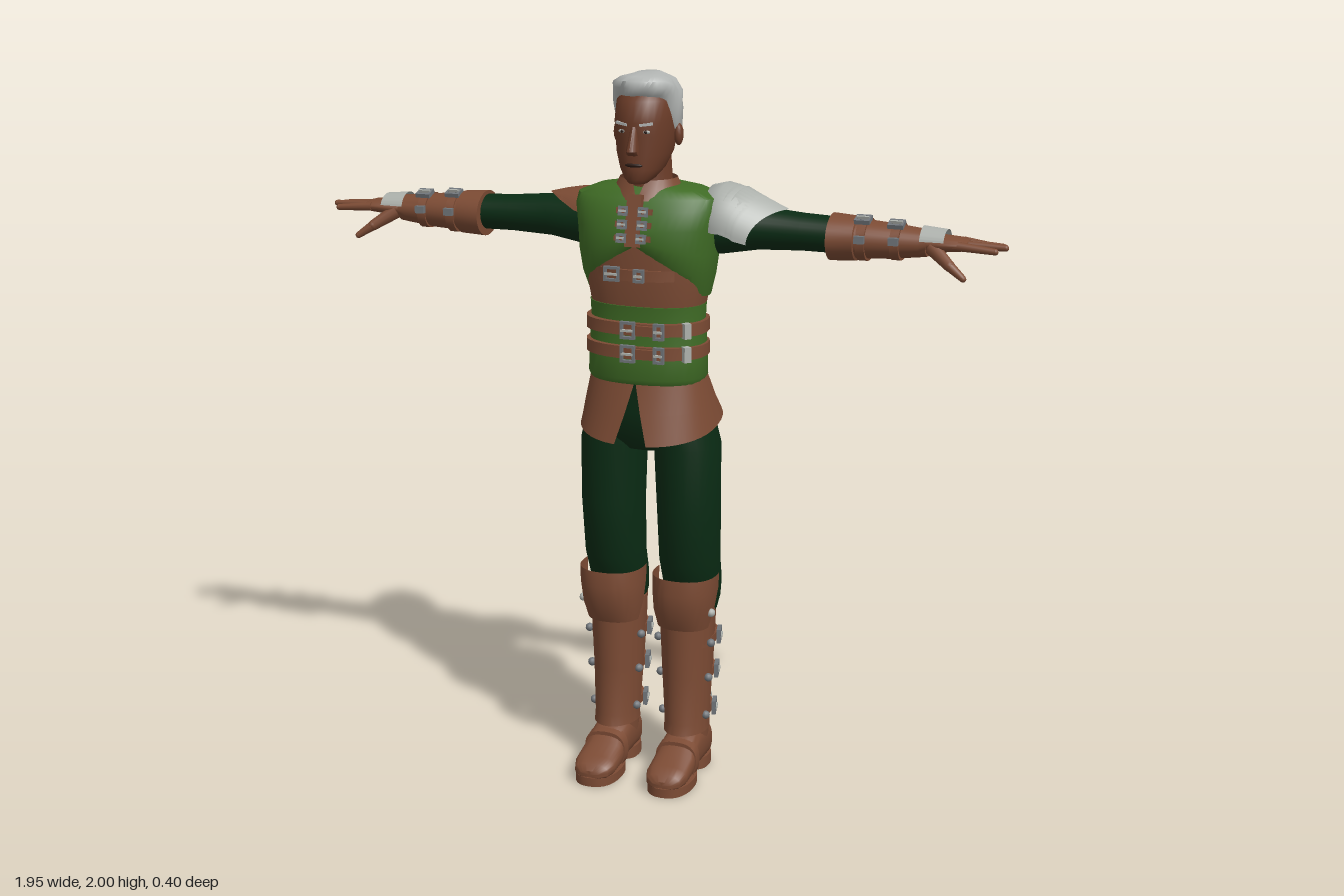
import * as THREE from 'three';
import { toCreasedNormals } from 'three/addons/utils/BufferGeometryUtils.js';

const paint = (name, color) => new THREE.MeshStandardMaterial({ name, color, side: THREE.DoubleSide });
const leather = paint('leather', 0x7c4b34);
const skin = paint('skin', 0x6b3c28);
const green = paint('vest green', 0x3f6b25);
const darkGreen = paint('dark green cloth', 0x0a2b14);
const silver = paint('silver', 0xacb0ab);
const hairGrey = paint('grey hair', 0xb2b5b3);
const buckleGrey = paint('buckle metal', 0x70757a);
const dark = paint('dark', 0x2a1a14);

function add(parent, name, geo, mat, x = 0, y = 0, z = 0) {
  const m = new THREE.Mesh(geo, mat);
  m.name = name;
  m.position.set(x, y, z);
  parent.add(m);
  return m;
}

// Skin over rings [t, centreU, centreV, radiusU, radiusV, gap]; t runs along the axis.
// (U, V) is (x, z) for axis y, (y, z) for axis x and (x, y) for axis z.
function loft(parent, name, mat, rings, o = {}) {
  const { axis = 'y', n = 28, e = 1, start = Math.PI / 2, cap = true, warp, crease = 0.75 } = o;
  const pos = [], idx = [];
  const put = (t, u, v) => {
    const p = axis === 'y' ? new THREE.Vector3(u, t, v) : axis === 'x' ? new THREE.Vector3(t, u, v) : new THREE.Vector3(u, v, t);
    if (warp) warp(p);
    pos.push(p.x, p.y, p.z);
  };
  const tri = (a, b, c) => axis === 'y' ? idx.push(a, b, c) : idx.push(a, c, b);
  const pw = c => Math.sign(c) * Math.abs(c) ** e;
  for (const [t, cu, cv, ru, rv, gap = 0] of rings)
    for (let j = 0; j <= n; j++) {
      const a = start + gap + (Math.PI * 2 - 2 * gap) * j / n;
      put(t, cu + ru * pw(Math.cos(a)), cv + rv * pw(Math.sin(a)));
    }
  const w = n + 1, top = (rings.length - 1) * w;
  for (let i = 0; i < rings.length - 1; i++)
    for (let j = 0; j < n; j++) {
      const a = i * w + j, c = a + w;
      tri(a, c, a + 1);
      tri(a + 1, c, c + 1);
    }
  if (cap) {
    const last = rings[rings.length - 1], c0 = rings.length * w;
    put(rings[0][0], rings[0][1], rings[0][2]);
    put(last[0], last[1], last[2]);
    for (let j = 0; j < n; j++) {
      tri(c0, j, j + 1);
      tri(c0 + 1, top + j + 1, top + j);
    }
  }
  const g = new THREE.BufferGeometry();
  g.setAttribute('position', new THREE.Float32BufferAttribute(pos, 3));
  g.setIndex(idx);
  return add(parent, name, toCreasedNormals(g, crease), mat);
}

// Short band around a limb or the waist
function band(parent, name, mat, t, cu, cv, ru, rv, h, o = {}) {
  return loft(parent, name, mat, [[t - h / 2, cu, cv, ru, rv], [t + h / 2, cu, cv, ru, rv]], { e: 0.9, ...o });
}

// Tapered round rod between two points
function rod(parent, name, mat, a, b, r0, r1) {
  const p = new THREE.Vector3(...a), d = new THREE.Vector3(...b).sub(p);
  const m = add(parent, name, new THREE.CylinderGeometry(r1, r0, d.length(), 10), mat);
  m.position.copy(p).addScaledVector(d, 0.5);
  m.quaternion.setFromUnitVectors(new THREE.Vector3(0, 1, 0), d.normalize());
  add(parent, name + 'Tip', new THREE.SphereGeometry(r1, 10, 8), mat, ...b);
}

// Rectangular frame with a prong, facing +z before turning
function buckle(parent, x, y, z, w, h, rx = 0, ry = 0) {
  const rect = (S, a, b) => new S().moveTo(-a, -b).lineTo(a, -b).lineTo(a, b).lineTo(-a, b).closePath();
  const s = rect(THREE.Shape, w / 2, h / 2);
  s.holes.push(rect(THREE.Path, w / 2 - 0.007, h / 2 - 0.007));
  const g = new THREE.Group();
  g.name = 'buckle';
  add(g, 'buckleFrame', new THREE.ExtrudeGeometry(s, { depth: 0.012, bevelEnabled: false }), buckleGrey);
  add(g, 'bucklePin', new THREE.BoxGeometry(w * 0.8, 0.006, 0.008), silver, 0, 0, 0.012);
  g.position.set(x, y, z);
  g.rotation.set(rx, ry, 0);
  parent.add(g);
}

function buildHead(root) {
  const g = new THREE.Group();
  g.name = 'head';
  root.add(g);
  loft(g, 'neck', skin, [[1.62, 0, 0, 0.085, 0.08], [1.69, 0, 0, 0.065, 0.066], [1.78, 0, 0.005, 0.06, 0.07]]);
  loft(g, 'face', skin, [[1.712, 0, 0.085, 0.024, 0.026], [1.725, 0, 0.07, 0.04, 0.05], [1.75, 0, 0.045, 0.058, 0.075],
    [1.79, 0, 0.028, 0.072, 0.094], [1.84, 0, 0.02, 0.079, 0.1], [1.875, 0, 0.02, 0.08, 0.103], [1.93, 0, 0.013, 0.077, 0.098],
    [1.97, 0, 0.005, 0.055, 0.07]], { e: 0.92, crease: 1.2 });
  // Swept hair with a raised front hairline
  loft(g, 'hair', hairGrey, [[1.82, 0, 0, 0.074, 0.088], [1.85, 0, 0.005, 0.087, 0.1], [1.9, 0, 0.008, 0.092, 0.104],
    [1.95, 0, 0.008, 0.09, 0.102], [1.98, 0, 0.006, 0.07, 0.085], [1.997, 0, 0, 0.03, 0.04]], {
    n: 48, crease: 1.2, warp: p => {
      const s = THREE.MathUtils.smoothstep(p.z, 0.0, 0.08);
      const k = 1 + 0.025 * Math.sin(9 * Math.atan2(p.z, p.x) + p.y * 50);
      p.y += 0.115 * s * (2 - p.y) / 0.18;
      p.x *= k;
      p.z *= k;
    } });
  for (const s of [-1, 1]) {
    add(g, 'ear', new THREE.SphereGeometry(1, 12, 8).scale(0.012, 0.03, 0.018), skin, s * 0.086, 1.835, 0.005);
    add(g, 'eyebrow', new THREE.BoxGeometry(0.036, 0.007, 0.009), hairGrey, s * 0.034, 1.872, 0.115).rotation.set(0, s * 0.3, s * 0.12);
    add(g, 'eye', new THREE.SphereGeometry(1, 12, 8).scale(0.012, 0.005, 0.004), silver, s * 0.033, 1.852, 0.113);
    add(g, 'pupil', new THREE.SphereGeometry(0.0045, 10, 8), dark, s * 0.033, 1.852, 0.115);
  }
  loft(g, 'nose', skin, [[1.79, 0, 0.12, 0.018, 0.014], [1.802, 0, 0.124, 0.017, 0.027], [1.865, 0, 0.11, 0.009, 0.015]], { n: 12 });
  add(g, 'mouth', new THREE.SphereGeometry(1, 12, 8).scale(0.025, 0.006, 0.007), dark, 0, 1.763, 0.117);
}

function buildTorso(root) {
  const g = new THREE.Group();
  g.name = 'torso';
  root.add(g);
  // Vest whose front hem rises to a peak
  loft(g, 'vest', green, [[1.4, 0, -0.01, 0.168, 0.11], [1.46, 0, -0.004, 0.183, 0.125], [1.52, 0, -0.002, 0.192, 0.13],
    [1.59, 0, -0.003, 0.197, 0.128], [1.64, 0, -0.008, 0.205, 0.118], [1.67, 0, -0.013, 0.2, 0.105],
    [1.69, 0, -0.015, 0.15, 0.09], [1.7, 0, -0.01, 0.09, 0.075]], {
    e: 0.82, n: 48, warp: p => {
      if (p.z > 0 && p.y < 1.59) p.y += 0.13 * (1.59 - p.y) / 0.19 * Math.max(0, 1 - Math.abs(p.x) / 0.17);
    } });
  loft(g, 'ribBand', leather, [[1.365, 0, 0, 0.158, 0.106], [1.45, 0, 0.002, 0.172, 0.117], [1.56, 0, 0, 0.175, 0.118]], { e: 0.85 });
  loft(g, 'waist', green, [[1.165, 0, 0.004, 0.16, 0.11], [1.18, 0, 0.006, 0.167, 0.116], [1.25, 0, 0.004, 0.165, 0.108],
    [1.34, 0, 0.005, 0.16, 0.104], [1.38, 0, 0.005, 0.162, 0.108]], { e: 0.88 });
  loft(g, 'collar', leather, [[1.665, 0, 0.002, 0.105, 0.098], [1.695, 0, 0.004, 0.09, 0.083, 0.12], [1.718, 0, 0.002, 0.078, 0.077, 0.25]], { cap: false });
  // Front placket and clasps
  add(g, 'placket', new THREE.BoxGeometry(0.04, 0.14, 0.02), leather, 0, 1.615, 0.117).rotation.x = -0.2;
  for (const y of [1.57, 1.605, 1.64]) {
    const z = 0.131 - (y - 1.57) * 0.25;
    add(g, 'claspStrap', new THREE.BoxGeometry(0.1, 0.016, 0.012), leather, 0, y, z).rotation.x = -0.2;
    for (const s of [-1, 1]) buckle(g, s * 0.028, y, z + 0.004, 0.026, 0.026, -0.2);
  }
  band(g, 'chestStrap', leather, 1.468, 0, 0.005, 0.155, 0.125, 0.03);
  buckle(g, -0.06, 1.47, 0.122, 0.045, 0.04);
  buckle(g, 0.02, 1.47, 0.13, 0.03, 0.036);
  // Waist belts
  for (const y of [1.255, 1.32]) {
    band(g, 'belt', leather, y, 0, 0.008, 0.171, 0.118, 0.034, { e: 0.85 });
    buckle(g, -0.012, y, 0.13, 0.042, 0.048);
    buckle(g, 0.075, y, 0.125, 0.03, 0.045);
    add(g, 'beltEnd', new THREE.BoxGeometry(0.07, 0.026, 0.012), leather, 0.03, y, 0.128);
    add(g, 'beltTab', new THREE.BoxGeometry(0.02, 0.042, 0.02), silver, 0.14, y, 0.09).rotation.y = 0.8;
  }
  // Flared skirt split at the front
  loft(g, 'skirt', leather, [[1.185, 0, 0, 0.16, 0.108, 0], [1.16, 0, -0.005, 0.167, 0.12, 0.02], [1.1, 0, -0.012, 0.181, 0.146, 0.1],
    [1.035, 0, -0.022, 0.196, 0.178, 0.2]].reverse(), {
    e: 0.9, n: 40, cap: false, warp: p => { p.y -= p.z * 0.21 * (1.185 - p.y) / 0.15; } });
  loft(g, 'hips', darkGreen, [[0.965, 0, -0.015, 0.1, 0.07], [1.0, 0, -0.015, 0.165, 0.1], [1.08, 0, -0.012, 0.165, 0.108], [1.18, 0, 0, 0.155, 0.1]], { e: 0.9 });
}

function buildLeg(root, side) {
  const g = new THREE.Group();
  g.name = side > 0 ? 'leftLeg' : 'rightLeg';
  g.scale.x = side;
  root.add(g);
  loft(g, 'trouserLeg', darkGreen, [[0.48, 0.108, -0.07, 0.068, 0.06], [0.52, 0.108, -0.068, 0.078, 0.078], [0.57, 0.11, -0.055, 0.083, 0.088],
    [0.64, 0.111, -0.03, 0.085, 0.094], [0.8, 0.112, -0.018, 0.089, 0.098], [0.98, 0.108, -0.015, 0.092, 0.104], [1.08, 0.095, -0.012, 0.08, 0.1]]);
  loft(g, 'bootShaft', leather, [[0.06, 0.108, -0.045, 0.052, 0.07], [0.15, 0.106, -0.038, 0.056, 0.08], [0.28, 0.105, -0.045, 0.064, 0.086],
    [0.4, 0.104, -0.048, 0.071, 0.092], [0.5, 0.104, -0.055, 0.073, 0.088]]);
  // Shin guard and knee plate, open at the back
  loft(g, 'shinGuard', leather, [[0.13, 0.106, -0.025, 0.063, 0.086, 1.3], [0.16, 0.106, -0.028, 0.062, 0.082, 1.3], [0.3, 0.104, -0.035, 0.07, 0.086, 1.35],
    [0.47, 0.104, -0.035, 0.078, 0.09, 1.4]], { start: -Math.PI / 2, cap: false });
  loft(g, 'kneePlate', leather, [[0.45, 0.105, -0.01, 0.076, 0.075, 1.75], [0.5, 0.106, -0.005, 0.085, 0.092, 1.55],
    [0.56, 0.108, -0.005, 0.09, 0.1, 1.4], [0.605, 0.109, -0.005, 0.091, 0.095, 1.35]], { start: -Math.PI / 2, cap: false, e: 0.85 });
  // Calf straps
  for (const [y, r] of [[0.4, 0.077], [0.295, 0.07], [0.18, 0.063]]) {
    band(g, 'calfStrap', leather, y, 0.105, -0.05, r - 0.001, r + 0.022, 0.024);
    for (const s of [-1, 1]) {
      buckle(g, 0.105 + s * r * 0.94, y, -0.078, 0.045, 0.04, 0, s * (Math.PI / 2 + 0.25));
      add(g, 'strapStud', new THREE.SphereGeometry(0.012, 10, 8), buckleGrey, 0.105 + s * (r + 0.002), y, -0.005);
    }
    add(g, 'strapEnd', new THREE.BoxGeometry(0.022, 0.022, 0.02), silver, 0.13, y, -0.05 - r - 0.024);
  }
  add(g, 'kneeStud', new THREE.SphereGeometry(0.012, 10, 8), silver, 0.192, 0.5, 0.02);
  // Foot, sole and heel
  loft(g, 'foot', leather, [[-0.117, 0.108, 0.07, 0.04, 0.045], [-0.09, 0.108, 0.075, 0.053, 0.058], [0.0, 0.108, 0.08, 0.055, 0.062],
    [0.05, 0.108, 0.072, 0.056, 0.054], [0.09, 0.108, 0.057, 0.06, 0.039], [0.15, 0.108, 0.046, 0.06, 0.03], [0.18, 0.108, 0.04, 0.05, 0.022],
    [0.195, 0.108, 0.034, 0.028, 0.012]], { axis: 'z', e: 0.75 });
  band(g, 'sole', leather, 0.014, 0.109, 0.105, 0.063, 0.095, 0.026, { e: 0.85 });
  band(g, 'heel', leather, 0.017, 0.108, -0.066, 0.052, 0.054, 0.034, { e: 0.75 });
  loft(g, 'instepStrap', leather, [[0.045, 0.108, 0.065, 0.061, 0.06], [0.075, 0.108, 0.063, 0.061, 0.055]], { axis: 'z', e: 0.75 });
}

function buildArm(root, side) {
  const g = new THREE.Group();
  g.name = side > 0 ? 'leftArm' : 'rightArm';
  g.scale.x = side;
  root.add(g);
  const X = { axis: 'x' };
  loft(g, 'sleeve', darkGreen, [[0.14, 1.58, -0.045, 0.074, 0.078], [0.2, 1.58, -0.05, 0.069, 0.074], [0.3, 1.586, -0.053, 0.058, 0.062],
    [0.42, 1.583, -0.055, 0.05, 0.056], [0.53, 1.58, -0.055, 0.048, 0.056]], X);
  loft(g, 'bracer', leather, [[0.5, 1.577, -0.051, 0.063, 0.077], [0.57, 1.576, -0.052, 0.059, 0.07], [0.572, 1.576, -0.052, 0.053, 0.064],
    [0.66, 1.575, -0.053, 0.047, 0.057], [0.74, 1.575, -0.055, 0.038, 0.047], [0.76, 1.576, -0.055, 0.036, 0.046]], X);
  for (const [x, r] of [[0.59, 0.056], [0.68, 0.049]]) {
    band(g, 'wristStrap', leather, x, 1.575, -0.053, r, r + 0.011, 0.024, X);
    buckle(g, x, 1.575 + r * 0.92, -0.025, 0.042, 0.036, -Math.PI / 2 + 0.3);
    for (const s of [-1, 1]) add(g, 'strapStud', new THREE.BoxGeometry(0.026, 0.02, 0.016), buckleGrey, x, 1.585, -0.053 + s * (r + 0.014));
  }
  // Hand with metal back plate
  loft(g, 'palm', leather, [[0.74, 1.575, -0.055, 0.027, 0.034], [0.79, 1.578, -0.053, 0.024, 0.044], [0.85, 1.578, -0.055, 0.018, 0.047], [0.868, 1.578, -0.055, 0.012, 0.044]], X);
  [[-0.094, 0.925, 1.57], [-0.07, 0.955, 1.575], [-0.044, 0.966, 1.578], [-0.018, 0.945, 1.572]].forEach(([z, x, y]) =>
    rod(g, 'finger', leather, [0.845, 1.579, z], [x, y, z * 1.15 + 0.009], 0.0125, 0.0085));
  rod(g, 'thumbBase', leather, [0.775, 1.568, -0.03], [0.83, 1.53, 0.005], 0.021, 0.015);
  rod(g, 'thumb', leather, [0.83, 1.53, 0.005], [0.87, 1.502, 0.02], 0.014, 0.009);
  const plate = loft(g, 'handPlate', silver, [[0.745, 1.577, -0.054, 0.042, 0.05, 1.75], [0.81, 1.579, -0.053, 0.034, 0.05, 1.75]], { axis: 'x', start: Math.PI, cap: false });
  plate.position.y = 0.002;
}

function buildShoulders(root) {
  const g = new THREE.Group();
  g.name = 'shoulderArmour';
  root.add(g);
  // Layered metal pauldron on the left, each plate ending in a point
  for (let i = 0; i < 3; i++) {
    const k = 1 + 0.05 * (2 - i), d = i * 0.028;
    loft(g, 'pauldronPlate', silver, [[0.145 + d, 1.6, -0.05, 0.06 * k, 0.07, 1.5], [0.165 + d, 1.595, -0.05, 0.092 * k, 0.093, 1.5],
      [0.21 + d, 1.59, -0.05, 0.106 * k, 0.107, 1.5], [0.27 + d, 1.585 - d * 0.3, -0.05, 0.098 * k, 0.112, 1.55], [0.325 + d, 1.572 - d * 0.3, -0.052, 0.087 * k, 0.108, 1.6]], {
      axis: 'x', start: Math.PI, cap: false,
      warp: p => { p.x -= Math.max(0, p.x - 0.18) * 4.2 * Math.abs(p.z + 0.05); } });
  }
  // Small leather cap on the right
  const cap = loft(g, 'shoulderCap', leather, [[0.16, 1.59, -0.05, 0.085, 0.085, 1.7], [0.21, 1.588, -0.052, 0.083, 0.082, 1.9],
    [0.26, 1.588, -0.054, 0.074, 0.074, 2.3], [0.305, 1.588, -0.055, 0.063, 0.065, 3.0]], { axis: 'x', start: Math.PI, cap: false });
  cap.scale.x = -1;
}

export function createModel() {
  const root = new THREE.Group();
  root.name = 'armouredMan';
  buildHead(root);
  buildTorso(root);
  for (const side of [1, -1]) {
    buildLeg(root, side);
    buildArm(root, side);
  }
  buildShoulders(root);
  return root;
}
